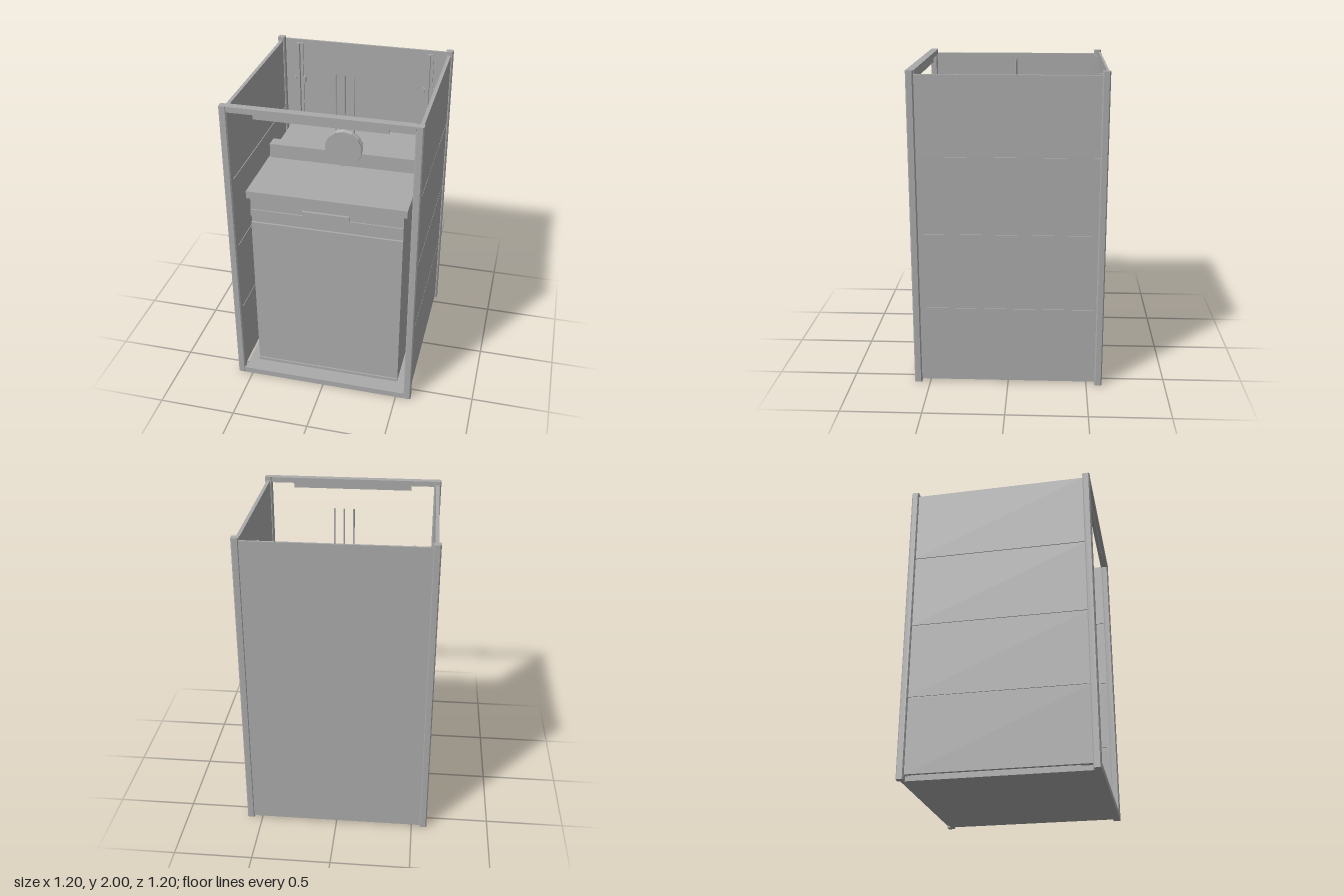
import * as THREE from 'three';

export function createModel() {
  const model = new THREE.Group();
  const grey = new THREE.MeshStandardMaterial({ color: 0xaaaaaa });
  grey.name = 'grey metal';

  function add(name, geometry, x = 0, y = 0, z = 0) {
    const mesh = new THREE.Mesh(geometry, grey);
    mesh.name = name;
    mesh.position.set(x, y, z);
    model.add(mesh);
    return mesh;
  }
  // Box given by its limits on each axis
  function box(name, x0, x1, y0, y1, z0, z1) {
    return add(name, new THREE.BoxGeometry(x1 - x0, y1 - y0, z1 - z0),
      (x0 + x1) / 2, (y0 + y1) / 2, (z0 + z1) / 2);
  }

  // Corner posts with slightly chamfered edges
  const h = 0.0235, c = 0.007;
  const section = new THREE.Shape([
    [-h + c, -h], [h - c, -h], [h, -h + c], [h, h - c],
    [h - c, h], [-h + c, h], [-h, h - c], [-h, -h + c],
  ].map(([x, y]) => new THREE.Vector2(x, y)));
  const postGeometry = new THREE.ExtrudeGeometry(section, { depth: 2, bevelEnabled: false });
  postGeometry.rotateX(-Math.PI / 2);
  for (const x of [-1, 1]) for (const z of [-1, 1]) {
    add('cornerPost', postGeometry, x * 0.5765, 0, z * 0.5765);
  }

  // Shaft floor, front frame beams and back wall
  box('shaftFloor', -0.55, 0.55, 0, 0.03, -0.575, 0.55);
  box('frontSill', -0.555, 0.555, 0, 0.04, 0.55, 0.599);
  box('frontLintel', -0.555, 0.555, 1.965, 2, 0.55, 0.599);
  box('lintelStrip', -0.4, 0.4, 1.93, 1.965, 0.56, 0.58);
  box('backWall', -0.555, 0.555, 0.015, 1.985, -0.599, -0.585);

  // Side walls: four panels over a recessed core, leaving narrow grooves
  const panels = 4, bottom = 0.03, pitch = 1.945 / panels, gap = 0.007;
  for (const s of [-1, 1]) {
    const core = box('sideWallCore', -0.005, 0.005, bottom, 1.97, -0.555, 0.555);
    core.position.x = s * 0.576;
    for (let i = 0; i < panels; i++) {
      const y = bottom + i * pitch;
      const panel = box('sidePanel', -0.011, 0.011, y, y + pitch - (i < panels - 1 ? gap : 0), -0.555, 0.555);
      panel.position.x = s * 0.576;
    }
  }

  // T-section guide rails with clips at the back
  for (const s of [-1, 1]) {
    const x = s * 0.45;
    box('railFlange', x - 0.025, x + 0.025, 0.03, 1.97, -0.568, -0.558);
    box('railBlade', x - 0.005, x + 0.005, 0.03, 1.97, -0.558, -0.535);
    for (const y of [0.27, 0.75, 1.225, 1.705]) {
      box('railClip', x - 0.04, x + 0.04, y - 0.02, y + 0.02, -0.578, -0.568);
      for (const t of [-1, 1]) {
        box('clipJaw', x + t * 0.032 - 0.008, x + t * 0.032 + 0.008, y - 0.02, y + 0.02, -0.568, -0.553);
      }
    }
  }

  // Cabin with its overhanging roof
  box('cabinBody', -0.488, 0.488, 0.03, 1.33, -0.52, 0.46);
  box('cabinRoof', -0.51, 0.51, 1.33, 1.38, -0.54, 0.48);
  box('cabinSill', -0.488, 0.488, 0.03, 0.05, 0.46, 0.483);

  // Cabin front: header, groove, rail and door
  box('doorHeader', -0.488, 0.488, 1.25, 1.33, 0.46, 0.468);
  box('doorTrack', -0.488, 0.488, 1.205, 1.25, 0.46, 0.476);
  box('doorPanel', -0.488, 0.488, 0.05, 1.155, 0.46, 0.474);
  box('displayBox', -0.15, 0.15, 1.235, 1.285, 0.46, 0.484);

  // Crosshead beam on the roof
  box('crosshead', -0.5, 0.5, 1.38, 1.478, -0.07, 0.012);

  // Grooved pulley wheel with its axle
  const profile = [[0, -0.025], [0.123, -0.025], [0.125, -0.012], [0.1, 0], [0.125, 0.012], [0.123, 0.025], [0, 0.025]]
    .map(([r, y]) => new THREE.Vector2(r, y));
  const wheel = new THREE.LatheGeometry(profile, 14).toNonIndexed();
  wheel.computeVertexNormals();
  wheel.rotateX(Math.PI / 2);
  add('pulleyWheel', wheel, 0, 1.503, -0.002);
  const axle = new THREE.CylinderGeometry(0.011, 0.011, 0.05, 12);
  axle.rotateX(Math.PI / 2);
  add('pulleyAxle', axle, 0, 1.503, -0.032);

  // Three hoist ropes
  for (const x of [-0.06, 0, 0.06]) {
    add('hoistRope', new THREE.CylinderGeometry(0.005, 0.005, 0.525, 8), x, 1.7325, -0.027);
  }

  return model;
}
